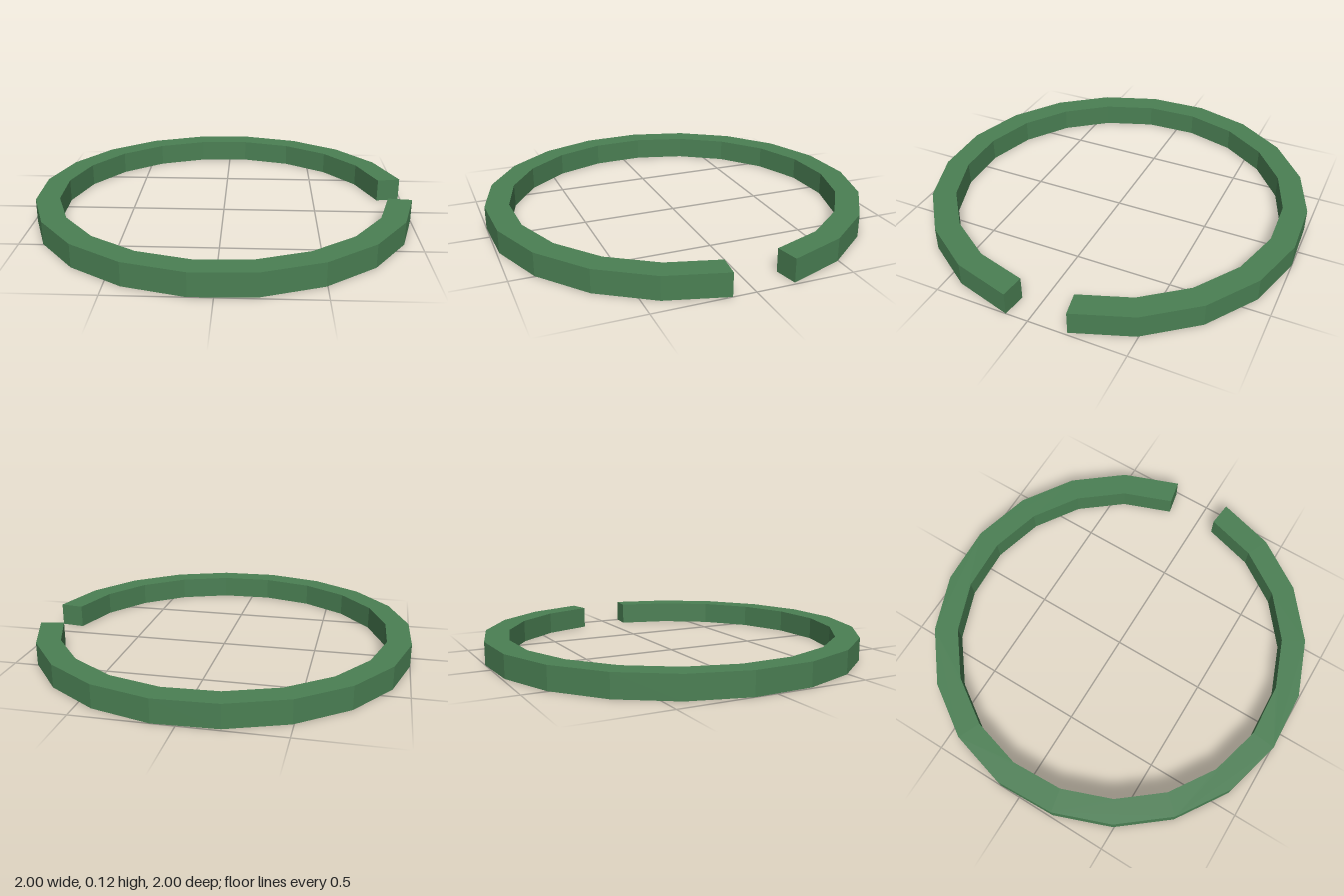
import * as THREE from 'three';

const SIDES = 20;
const START = THREE.MathUtils.degToRad(6.6);
const OUTER = 1 / Math.cos(START); // widest corners land on x, z = ±1
const INNER = 0.881;
const HEIGHT = 0.12;

// Corners of the polygon ring, leaving one of the sides open
function arcPoints(radius) {
  return Array.from({ length: SIDES }, (_, i) => {
    const a = START + (i * 2 * Math.PI) / SIDES;
    return new THREE.Vector2(radius * Math.cos(a), -radius * Math.sin(a));
  });
}

export function createModel() {
  const group = new THREE.Group();
  group.name = 'openRing';

  const material = new THREE.MeshStandardMaterial({ color: 0x4a7f53, flatShading: true });

  // Flat C-shaped band, extruded upwards from the ground
  const outline = new THREE.Shape([...arcPoints(OUTER), ...arcPoints(INNER).reverse()]);
  const geometry = new THREE.ExtrudeGeometry(outline, { depth: HEIGHT, bevelEnabled: false });
  geometry.rotateX(-Math.PI / 2);

  const band = new THREE.Mesh(geometry, material);
  band.name = 'ringBand';
  group.add(band);
  return group;
}
